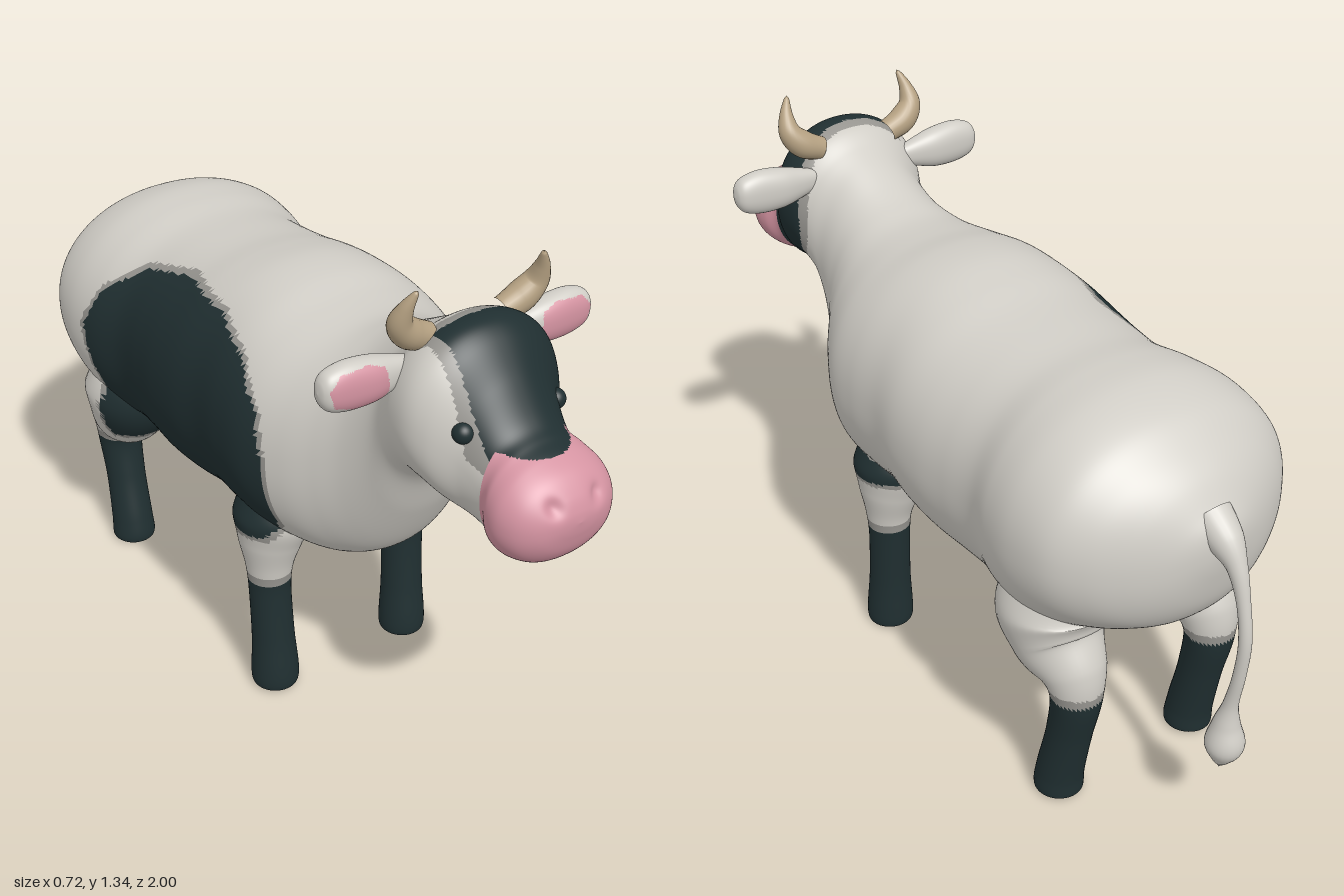
import * as THREE from 'three';

const flat = (name, color) => Object.assign(new THREE.MeshStandardMaterial({ color }), { name });
const MATS = [
  flat('hide white', 0xd0cdc6), flat('hide black', 0x202f31), flat('patch edge grey', 0x979590),
  flat('skin pink', 0xd594a2), flat('horn tan', 0xb5a182),
];
const [WHITE, BLACK, GREY, PINK, TAN] = [0, 1, 2, 3, 4];

// Body cross-sections from rump to nose: z, top, bottom, half width
const BODY = [
  [-0.895, 0.79, 0.79, 0], [-0.885, 0.84, 0.72, 0.06], [-0.86, 0.88, 0.63, 0.13], [-0.82, 0.935, 0.57, 0.21],
  [-0.77, 0.98, 0.535, 0.28], [-0.7, 1.03, 0.5, 0.335], [-0.6, 1.06, 0.45, 0.355], [-0.5, 1.062, 0.43, 0.345],
  [-0.4, 1.055, 0.42, 0.318], [-0.3, 1.06, 0.42, 0.322], [-0.2, 1.07, 0.422, 0.333], [-0.1, 1.09, 0.43, 0.335],
  [0, 1.105, 0.44, 0.325], [0.1, 1.102, 0.44, 0.328], [0.2, 1.085, 0.44, 0.32], [0.3, 1.08, 0.445, 0.275],
  [0.37, 1.095, 0.475, 0.23], [0.43, 1.12, 0.535, 0.195], [0.5, 1.16, 0.66, 0.172], [0.55, 1.19, 0.775, 0.175],
  [0.6, 1.225, 0.83, 0.193], [0.66, 1.238, 0.835, 0.198], [0.71, 1.215, 0.818, 0.18], [0.77, 1.145, 0.8, 0.137],
  [0.83, 1.07, 0.79, 0.125], [0.87, 1.045, 0.785, 0.143], [0.91, 1.03, 0.79, 0.147], [0.95, 1.008, 0.805, 0.13],
  [0.98, 0.975, 0.84, 0.095], [0.995, 0.945, 0.885, 0.05], [1, 0.92, 0.92, 0],
];

// Patch outlines on the flanks: z, y
const RIGHT_PATCH = [[-0.38, 0.97], [-0.2, 1.015], [0, 1.015], [0.14, 0.97], [0.23, 0.88], [0.26, 0.75], [0.26, 0.58],
  [0.21, 0.5], [0, 0.49], [-0.25, 0.46], [-0.42, 0.41], [-0.53, 0.42], [-0.52, 0.52], [-0.5, 0.62], [-0.53, 0.78], [-0.48, 0.89]];
const LEFT_PATCH = [[0.36, 0.505], [0.37, 0.54], [0.33, 0.57], [0.2, 0.582], [0.1, 0.565], [0, 0.53], [-0.03, 0.505]];
const LEFT_EDGE = [[0.37, 0.5], [0.39, 0.55], [0.34, 0.59], [0.2, 0.6], [0, 0.55], [-0.14, 0.49], [-0.2, 0.46], [-0.1, 0.452], [0, 0.49]];

// Signed distance to an outline, negative inside
function outlineDistance(x, y, pts) {
  let best = Infinity, inside = false;
  pts.forEach(([ax, ay], i) => {
    const [bx, by] = pts[(i + 1) % pts.length];
    const dx = bx - ax, dy = by - ay;
    const t = THREE.MathUtils.clamp(((x - ax) * dx + (y - ay) * dy) / (dx * dx + dy * dy), 0, 1);
    best = Math.min(best, Math.hypot(x - ax - t * dx, y - ay - t * dy));
    if ((ay > y) !== (by > y) && x < ax + dx * (y - ay) / dy) inside = !inside;
  });
  return inside ? -best : best;
}

// Hide colour at a point of the body or legs
function hide({ x, y, z }) {
  if (y < 0.33) return BLACK;
  if (y < 0.355) return GREY;
  if (z > 0.5) {
    if (z > 0.83 && y < 1.03) return PINK;
    const back = 0.58 + (y < 1 ? 3.5 : 1) * (y - 1) ** 2;
    const d = Math.min(x + 0.105 + Math.min(0, (y - 1) * 0.6), z - back);
    return d > 0 ? BLACK : d > -0.025 ? GREY : WHITE;
  }
  if (x < 0) {
    const d = outlineDistance(z, y, RIGHT_PATCH);
    return d < 0 ? BLACK : d < 0.012 ? GREY : WHITE;
  }
  if (outlineDistance(z, y, LEFT_PATCH) < 0) return BLACK;
  return outlineDistance(z, y, LEFT_EDGE) < 0 ? GREY : WHITE;
}

// Smooth interpolation through table rows, t from 0 to 1
function sample(rows, t) {
  const n = rows.length - 1, i = Math.min(Math.floor(t * n), n - 1), f = t * n - i;
  const [a, b, c, d] = [-1, 0, 1, 2].map(k => rows[THREE.MathUtils.clamp(i + k, 0, n)]);
  return b.map((_, k) => b[k] + 0.5 * f * (c[k] - a[k]
    + f * (2 * a[k] - 5 * b[k] + 4 * c[k] - d[k] + f * (3 * (b[k] - c[k]) + d[k] - a[k]))));
}

// Closed tubular surface; each face takes the colour that paint gives its centre
function surface(name, rings, sides, point, paint) {
  const pts = [], buckets = MATS.map(() => []);
  for (let i = 0; i <= rings; i++)
    for (let j = 0; j < sides; j++) pts.push(point(i / rings, j / sides * Math.PI * 2));
  const face = (...ids) => {
    const c = new THREE.Vector3();
    ids.forEach(k => c.addScaledVector(pts[k], 1 / 3));
    buckets[paint(c)].push(...ids);
  };
  for (let i = 0; i < rings; i++)
    for (let j = 0; j < sides; j++) {
      const a = i * sides + j, b = i * sides + (j + 1) % sides;
      face(a, b, a + sides);
      face(b, b + sides, a + sides);
    }
  const geo = new THREE.BufferGeometry().setFromPoints(pts);
  geo.setIndex(buckets.flat());
  let start = 0;
  buckets.forEach((ids, m) => {
    if (ids.length) geo.addGroup(start, ids.length, m);
    start += ids.length;
  });
  geo.computeVertexNormals();
  const mesh = new THREE.Mesh(geo, MATS);
  mesh.name = name;
  return mesh;
}

// Loft of superellipse sections along z
function loft(name, rows, rings, sides, power, paint, adjust = p => p) {
  const bend = v => Math.sign(v) * Math.abs(v) ** (2 / power);
  return surface(name, rings, sides, (t, a) => {
    const [z, top, bottom, w] = sample(rows, t);
    return adjust(new THREE.Vector3(Math.max(0, w) * bend(Math.cos(a)),
      (top + bottom) / 2 + Math.max(0, top - bottom) / 2 * bend(Math.sin(a)), z));
  }, paint);
}

// Round tapering limb through points x, y, z, radius
function limb(name, rows, rings, sides, paint, ref = new THREE.Vector3(1, 0, 0)) {
  const curve = new THREE.CatmullRomCurve3(rows.map(r => new THREE.Vector3(r[0], r[1], r[2])));
  return surface(name, rings, sides, (t, a) => {
    const T = curve.getTangent(t), N = ref.clone().cross(T).normalize(), B = T.clone().cross(N);
    const r = Math.max(0, sample(rows, t)[3]);
    return curve.getPoint(t).addScaledVector(N, r * Math.cos(a)).addScaledVector(B, r * Math.sin(a));
  }, paint);
}

function ball(name, mat, pos, radii) {
  const mesh = new THREE.Mesh(new THREE.SphereGeometry(1, 32, 20), MATS[mat]);
  mesh.name = name;
  mesh.position.set(...pos);
  mesh.scale.set(...radii);
  return mesh;
}

export function createModel() {
  const cow = new THREE.Group();
  cow.name = 'cow';

  // Body, neck and head, with shallow nostrils
  const nostrils = p => {
    if (p.z > 0.9) p.z -= 0.012 * Math.exp(-((Math.abs(p.x) - 0.055) ** 2 + (p.y - 0.96) ** 2) / 0.0003);
    return p;
  };
  cow.add(loft('body', BODY, 270, 140, 2.15, hide, nostrils));

  for (const s of [1, -1]) {
    const side = s > 0 ? 'left' : 'right';
    // Legs
    cow.add(limb(side + 'FrontLeg', [[0.19 * s, 0.62, 0.14, 0.07], [0.19 * s, 0.52, 0.14, 0.1], [0.2 * s, 0.44, 0.14, 0.081],
      [0.205 * s, 0.37, 0.142, 0.061], [0.205 * s, 0.3, 0.143, 0.054], [0.203 * s, 0.15, 0.152, 0.055], [0.202 * s, 0.05, 0.158, 0.061],
      [0.202 * s, 0.012, 0.159, 0.06], [0.202 * s, 0.003, 0.159, 0.05], [0.202 * s, 0, 0.159, 0]], 100, 40, hide));
    cow.add(limb(side + 'HindLeg', [[0.19 * s, 0.66, -0.58, 0.1], [0.195 * s, 0.53, -0.565, 0.135], [0.2 * s, 0.45, -0.595, 0.112],
      [0.2 * s, 0.39, -0.65, 0.08], [0.2 * s, 0.33, -0.665, 0.063], [0.2 * s, 0.2, -0.645, 0.055], [0.202 * s, 0.06, -0.617, 0.058],
      [0.202 * s, 0.012, -0.612, 0.06], [0.202 * s, 0.003, -0.612, 0.05], [0.202 * s, 0, -0.612, 0]], 100, 40, hide));

    // Ear, lofted outward, pink on its front
    const ear = loft(side + 'Ear', [[0.13, 1.15, 1.1, 0.02], [0.18, 1.165, 1.085, 0.03], [0.23, 1.178, 1.073, 0.038],
      [0.29, 1.184, 1.072, 0.037], [0.335, 1.175, 1.083, 0.032], [0.354, 1.157, 1.103, 0.02], [0.36, 1.13, 1.13, 0]], 70, 56, 2.3,
    p => (-s * p.x > 0.012 && p.z > 0.2 && outlineDistance(p.z, p.y,
      [[0.2, 1.1], [0.21, 1.16], [0.25, 1.174], [0.32, 1.17], [0.347, 1.14], [0.335, 1.1], [0.28, 1.08], [0.22, 1.083]]) < 0 ? PINK : WHITE));
    ear.rotation.y = s * Math.PI / 2;
    ear.position.z = 0.583;
    cow.add(ear);

    // Horn and eye
    cow.add(limb(side + 'Horn', [[0.1 * s, 1.195, 0.6, 0.03], [0.15 * s, 1.217, 0.603, 0.035], [0.178 * s, 1.25, 0.612, 0.029],
      [0.178 * s, 1.29, 0.628, 0.018], [0.165 * s, 1.33, 0.645, 0.006], [0.163 * s, 1.336, 0.648, 0]], 40, 24,
    () => TAN, new THREE.Vector3(0, 0, 1)));
    cow.add(ball(side + 'Eye', BLACK, [0.122 * s, 1.05, 0.762], [0.024, 0.024, 0.024]));

    // Teats
    for (const z of [-0.39, -0.495])
      cow.add(limb(side + 'Teat', [[0.05 * s, 0.43, z, 0.03], [0.05 * s, 0.39, z, 0.024], [0.05 * s, 0.35, z, 0.015],
        [0.05 * s, 0.335, z, 0.01], [0.05 * s, 0.33, z, 0]], 20, 16, () => PINK));
  }
  cow.add(ball('udder', PINK, [0, 0.435, -0.42], [0.14, 0.052, 0.13]));

  // Tail with its tuft
  cow.add(limb('tail', [[0, 0.85, -0.84, 0.05], [0, 0.815, -0.895, 0.04], [0, 0.775, -0.932, 0.024], [0, 0.7, -0.962, 0.016],
    [0, 0.6, -0.98, 0.015], [0, 0.5, -0.973, 0.015], [0, 0.41, -0.957, 0.018], [0, 0.35, -0.95, 0.032],
    [0, 0.29, -0.95, 0.046], [0, 0.24, -0.944, 0.022], [0, 0.208, -0.94, 0]], 80, 24, () => WHITE));
  return cow;
}
